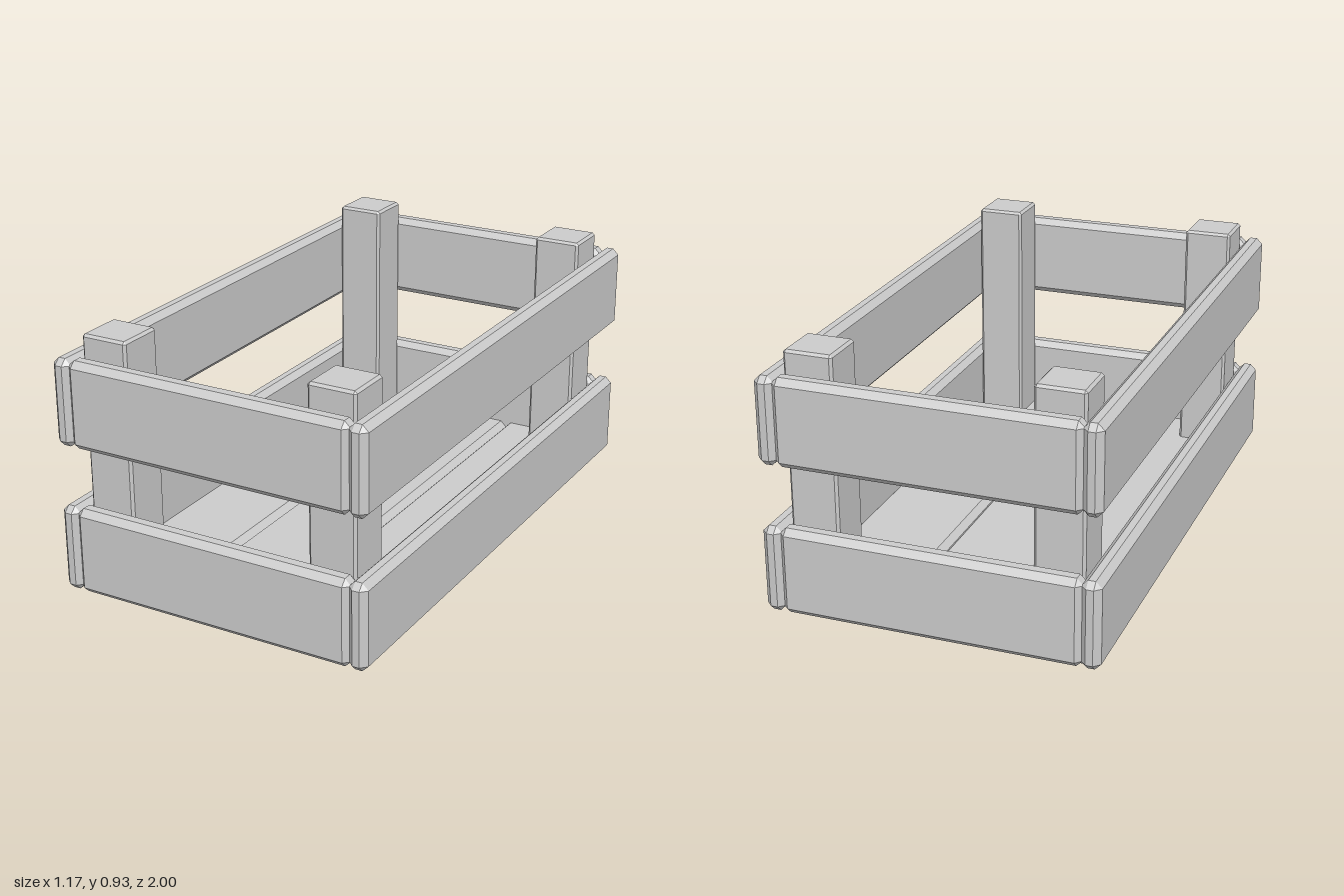
import * as THREE from 'three';
import { ConvexGeometry } from 'three/addons/geometries/ConvexGeometry.js';

const material = new THREE.MeshStandardMaterial({ color: 0xcccccc, flatShading: true });

// Box with chamfered edges and corners, spanning min to max
function plank(name, min, max, chamfer) {
  const half = max.map((v, i) => (v - min[i]) / 2);
  const points = [];
  for (const sx of [-1, 1]) for (const sy of [-1, 1]) for (const sz of [-1, 1]) {
    for (let axis = 0; axis < 3; axis++) {
      const [x, y, z] = half.map((h, i) => (i === axis ? h : h - chamfer));
      points.push(new THREE.Vector3(sx * x, sy * y, sz * z));
    }
  }
  const mesh = new THREE.Mesh(new ConvexGeometry(points), material);
  mesh.position.set(...max.map((v, i) => (v + min[i]) / 2));
  mesh.name = name;
  return mesh;
}

export function createModel() {
  const crate = new THREE.Group();
  crate.name = 'crate';

  // Floor boards, edge to edge along the length
  const seams = [-0.56, -0.197, 0.162, 0.534];
  for (let i = 0; i < 3; i++) {
    crate.add(plank('floorBoard', [seams[i], 0, -0.952], [seams[i + 1], 0.07, 0.952], 0.022));
  }

  // Two rows of slats around the walls
  for (const [row, bottom, top] of [['lower', 0.017, 0.327], ['upper', 0.544, 0.853]]) {
    crate.add(
      plank(row + 'LeftSlat', [0.514, bottom, -1], [0.583, top, 1], 0.022),
      plank(row + 'RightSlat', [-0.583, bottom, -1], [-0.514, top, 1], 0.022),
      plank(row + 'FrontSlat', [-0.522, bottom, 0.925], [0.522, top, 1], 0.022),
      plank(row + 'BackSlat', [-0.522, bottom, -1], [0.522, top, -0.925], 0.022),
    );
  }

  // Corner posts inside the walls
  for (const sx of [-1, 1]) for (const sz of [-1, 1]) {
    const x = sx * 0.422, z = sz * 0.837, h = 0.086;
    crate.add(plank('cornerPost', [x - h, 0.04, z - h], [x + h, 0.925, z + h], 0.009));
  }
  return crate;
}
